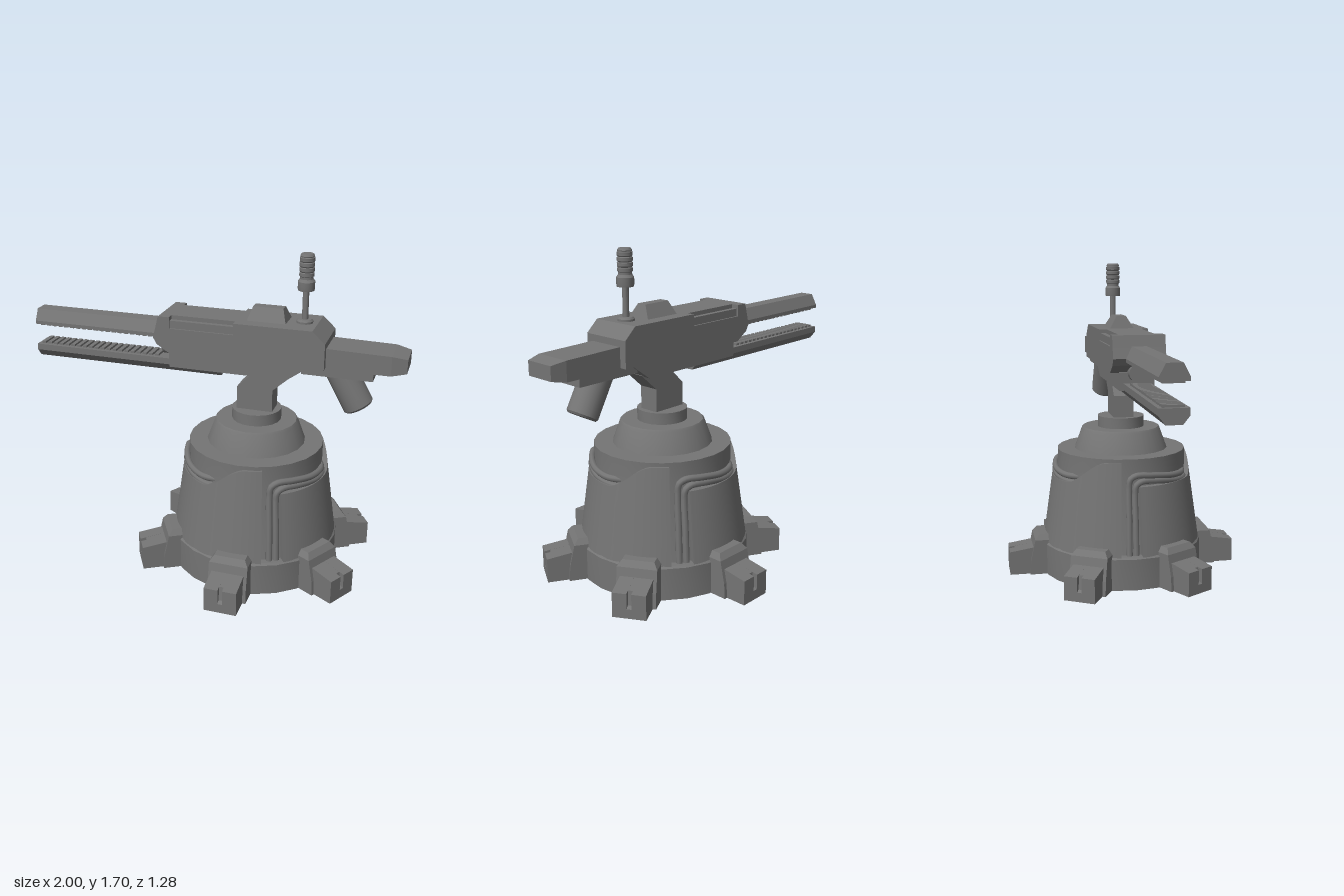
import * as THREE from 'three';
import { toCreasedNormals } from 'three/addons/utils/BufferGeometryUtils.js';

const mat = new THREE.MeshStandardMaterial({ color: 0x747474, side: THREE.DoubleSide });
const BASE_X = 0.235;
const rad = THREE.MathUtils.degToRad;

function add(parent, name, geo, x = 0, y = 0, z = 0) {
  const m = new THREE.Mesh(geo, mat);
  m.name = name;
  m.position.set(x, y, z);
  parent.add(m);
  return m;
}
const poly = pts => new THREE.Shape(pts.map(p => new THREE.Vector2(...p)));

// side profile in x,y with a width centred on z
function slab(pts, width) {
  const g = new THREE.ExtrudeGeometry(poly(pts), { depth: width, bevelEnabled: false });
  return g.translate(0, 0, -width / 2);
}
// profile in z,y with a length centred on x
const beam = (pts, length) => slab(pts, length).rotateY(-Math.PI / 2);

// box whose top face is drawn in
function taperBox(w, h, d, sx, sz) {
  const g = new THREE.BoxGeometry(w, h, d);
  const p = g.attributes.position;
  for (let i = 0; i < p.count; i++)
    if (p.getY(i) > 0) p.setXYZ(i, p.getX(i) * sx, h / 2, p.getZ(i) * sz);
  g.computeVertexNormals();
  return g;
}

const lathe = (pts, seg) => toCreasedNormals(
  new THREE.LatheGeometry(pts.map(p => new THREE.Vector2(...p)), seg), 0.5);

// point on the round body: azimuth in degrees from +z towards +x
const polar = (az, y, r) => new THREE.Vector3(r * Math.sin(rad(az)), y, r * Math.cos(rad(az)));
const shellRadius = y => 0.44 - 0.07 * (y - 0.18) / 0.49;

// curved armour plate, low on one end and sweeping up to a high shoulder
function plateGeometry() {
  const g = new THREE.BoxGeometry(1, 1, 1, 35, 4, 1);
  const p = g.attributes.position;
  for (let i = 0; i < p.count; i++) {
    const u = p.getX(i) + 0.5, v = p.getY(i) + 0.5;
    const az = 35 + 105 * u;
    const top = 0.545 + 0.125 * THREE.MathUtils.smoothstep(az, 90, 127);
    const y = 0.17 + (top - 0.17) * v;
    const q = polar(az, y, shellRadius(y) + (p.getZ(i) - 0.5) * 0.035);
    p.setXYZ(i, q.x, q.y, q.z);
  }
  return toCreasedNormals(g, 0.5);
}

// pipe rising in the gap between plates, then running along the low plate edge
// until it dips behind the rising shoulder
function pipeGeometry(az, y) {
  const pts = [
    polar(az, 0.18, 0.41), polar(az, 0.35, 0.395), polar(az, y - 0.07, 0.377),
    polar(az + 1, y - 0.02, 0.377), polar(az + 6, y, 0.375), polar(az + 20, y - 0.005, 0.37),
    polar(az + 40, y - 0.022, 0.368), polar(az + 60, y - 0.03, 0.362), polar(az + 76, y - 0.03, 0.335)];
  return new THREE.TubeGeometry(new THREE.CatmullRomCurve3(pts), 48, 0.017, 8);
}

function createBase() {
  const base = new THREE.Group();
  base.name = 'base';
  base.position.x = BASE_X;
  add(base, 'baseDisc', lathe([[0, 0], [0.45, 0], [0.45, 0.17], [0.44, 0.18], [0, 0.18]], 24));
  add(base, 'bodyCore', lathe([[0.405, 0.18], [0.357, 0.52], [0.357, 0.69], [0, 0.69]], 24));
  add(base, 'upperCone', lathe([[0.26, 0.69], [0.22, 0.8], [0.212, 0.81], [0, 0.81]], 20));
  add(base, 'neckCollar', lathe([[0.13, 0.8], [0.13, 0.87], [0, 0.87]], 20));

  for (let i = 0; i < 3; i++) {
    const sector = new THREE.Group();
    sector.name = 'bodySector';
    sector.rotation.y = rad(120 * i);
    add(sector, 'armourPlate', plateGeometry());
    add(sector, 'outerPipe', pipeGeometry(26, 0.605));
    add(sector, 'innerPipe', pipeGeometry(31, 0.572));
    base.add(sector);
  }

  for (let i = 0; i < 6; i++) {
    const foot = new THREE.Group();
    foot.name = 'foot';
    foot.rotation.y = rad(60 * i);
    add(foot, 'footBracket', beam([[0.36, 0], [0.53, 0], [0.525, 0.08], [0.5, 0.195], [0.36, 0.195]], 0.205));
    add(foot, 'bracketCap', taperBox(0.205, 0.03, 0.16, 0.8, 0.7), 0, 0.21, 0.42);
    const toe = [[0.48, 0], [0.64, 0], [0.64, 0.13], [0.48, 0.155]];
    for (const s of [-1, 1]) add(foot, 'toeSide', beam(toe, 0.073), s * 0.0485);
    // slot in the middle of the toe
    add(foot, 'toeCentre', beam([[0.48, 0], [0.64, 0], [0.64, 0.05], [0.62, 0.06],
      [0.61, 0.134], [0.48, 0.155]], 0.024));
    base.add(foot);
  }
  return base;
}

function createGun() {
  const gun = new THREE.Group();
  gun.name = 'gun';
  add(gun, 'neck', slab([[0.14, 0.86], [0.33, 0.86], [0.33, 0.99], [0.43, 1.08],
    [0.23, 1.08], [0.14, 0.99]], 0.11));

  // receiver with notched upper edges
  add(gun, 'receiverLower', slab([[-0.29, 1.24], [-0.275, 1.295], [0.605, 1.295], [0.605, 1.16],
    [-0.2, 1.16], [-0.27, 1.205]], 0.27));
  add(gun, 'receiverNose', slab([[-0.275, 1.295], [-0.26, 1.355], [-0.2, 1.355], [-0.2, 1.295]], 0.27));
  add(gun, 'receiverRear', slab([[0.14, 1.295], [0.14, 1.355], [0.54, 1.355], [0.605, 1.295]], 0.27));
  add(gun, 'receiverSpine', new THREE.BoxGeometry(0.34, 0.06, 0.19), -0.03, 1.325);
  for (const s of [-1, 1])
    add(gun, 'sideBar', new THREE.BoxGeometry(0.34, 0.04, 0.026), -0.03, 1.315, s * 0.113);
  add(gun, 'underBody', slab([[-0.22, 1.165], [-0.22, 1.07], [0.41, 1.07], [0.54, 1.165]], 0.18));
  add(gun, 'underBar', new THREE.BoxGeometry(0.36, 0.05, 0.16), 0.66, 1.134);
  add(gun, 'topSight', taperBox(0.2, 0.066, 0.13, 0.78, 0.4), 0.29, 1.388);

  // stock with a tapered end
  add(gun, 'stock', slab([[0.58, 1.155], [0.925, 1.155], [0.925, 1.255], [0.58, 1.262]], 0.195));
  const tip = add(gun, 'stockTip', taperBox(0.1, 0.075, 0.195, 0.72, 0.82), 0.9625, 1.205);
  tip.rotation.z = -Math.PI / 2;

  // slanted canister below the stock
  const canister = add(gun, 'canister', lathe([[0, -0.12], [0.07, -0.12], [0.079, -0.11],
    [0.079, 0.11], [0, 0.11]], 20), 0.712, 1.042);
  canister.rotation.z = rad(29);

  // barrel rails with teeth facing each other
  add(gun, 'upperRail', beam([[-0.07, 1.222], [0.07, 1.222], [0.07, 1.24], [0.038, 1.3], [-0.038, 1.3],
    [-0.07, 1.24]], 0.75), -0.625);
  add(gun, 'lowerRail', beam([[-0.07, 1.108], [0.07, 1.108], [0.07, 1.075], [0.038, 1.035], [-0.038, 1.035],
    [-0.07, 1.075]], 1.05), -0.475);
  for (let x = -0.97; x < -0.28; x += 0.035)
    for (const y of [1.217, 1.113])
      add(gun, 'railTooth', new THREE.BoxGeometry(0.022, 0.012, 0.1), x, y);
  const muzzle = add(gun, 'muzzle', new THREE.CylinderGeometry(0.05, 0.05, 0.12, 16), -0.215, 1.165);
  muzzle.rotation.z = Math.PI / 2;
  return gun;
}

// antenna with a ribbed head
function createAntenna() {
  const pts = [[0, 1.35], [0.042, 1.35], [0.042, 1.365], [0.034, 1.374], [0.016, 1.374], [0.016, 1.52],
    [0.041, 1.52], [0.043, 1.53], [0.043, 1.565], [0.034, 1.578], [0.034, 1.59]];
  for (let y = 1.59; y < 1.68; y += 0.025)
    pts.push([0.038, y + 0.003], [0.038, y + 0.019], [0.034, y + 0.022]);
  pts.push([0.036, 1.692], [0.03, 1.702], [0, 1.702]);
  const g = new THREE.Group();
  g.name = 'antenna';
  add(g, 'antennaBody', lathe(pts, 16), 0.473);
  return g;
}

export function createModel() {
  const model = new THREE.Group();
  model.name = 'turret';
  model.add(createBase(), createGun(), createAntenna());
  return model;
}
